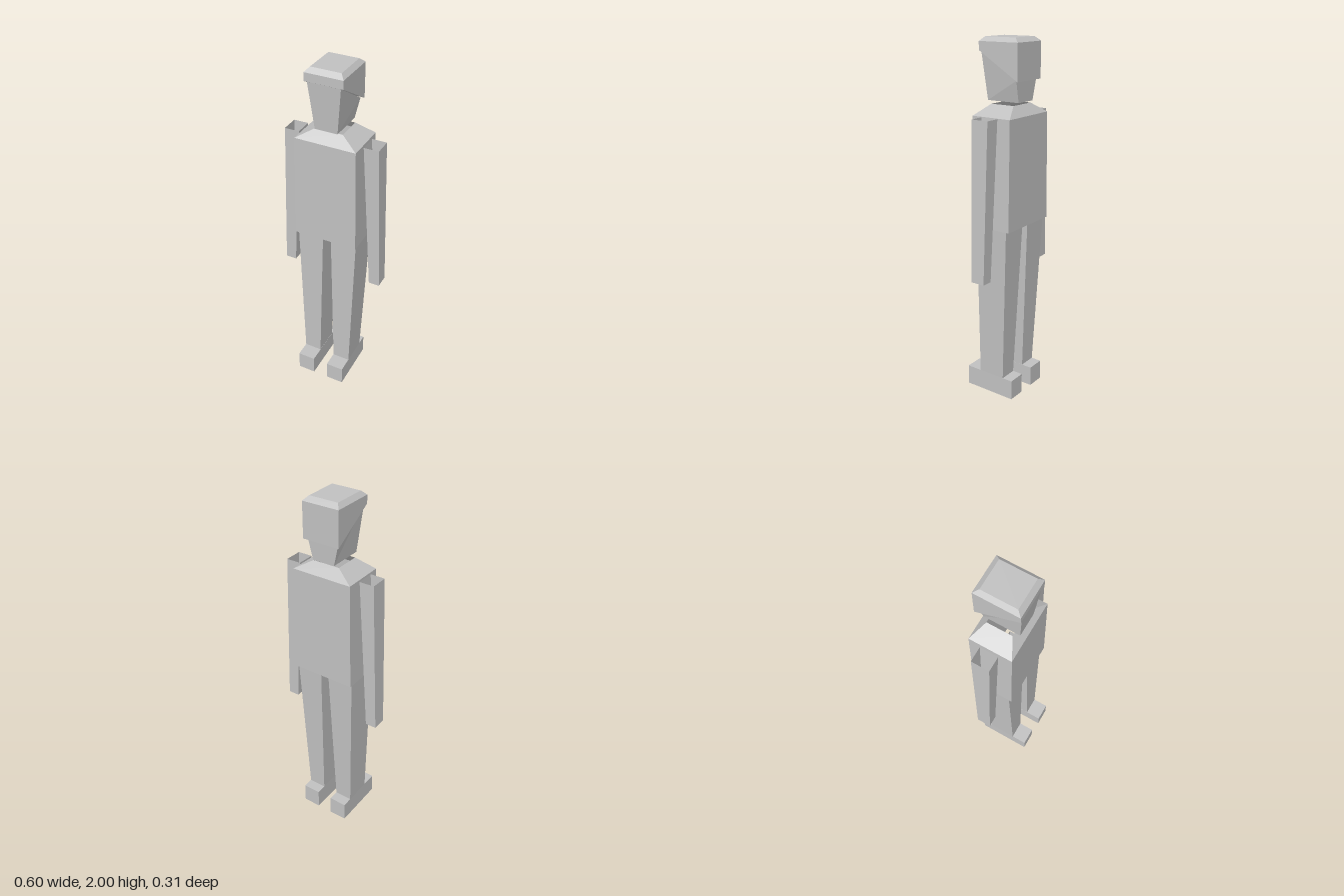
import * as THREE from 'three';

const grey = new THREE.MeshStandardMaterial({ color: 0xc0c0c0, side: THREE.DoubleSide, flatShading: true });
grey.name = 'plain grey';

// One four-cornered cross-section; yBack lets it slope from front to back
const ring = (x0, x1, z0, z1, yFront, yBack = yFront) => [
  [x0, yFront, z1], [x1, yFront, z1], [x1, yBack, z0], [x0, yBack, z0],
];

// Joins cross-sections from bottom to top, with optional end faces
function loft(name, rings, { bottom = false, top = false } = {}) {
  const positions = [];
  const quad = (a, b, c, d) => positions.push(...a, ...b, ...c, ...a, ...c, ...d);
  for (let r = 0; r < rings.length - 1; r++) {
    const low = rings[r], high = rings[r + 1];
    for (let i = 0; i < 4; i++) {
      const j = (i + 1) % 4;
      quad(low[i], low[j], high[j], high[i]);
    }
  }
  if (bottom) quad(...[...rings[0]].reverse());
  if (top) quad(...rings[rings.length - 1]);
  const geometry = new THREE.BufferGeometry();
  geometry.setAttribute('position', new THREE.Float32BufferAttribute(positions, 3));
  geometry.computeVertexNormals();
  const mesh = new THREE.Mesh(geometry, grey);
  mesh.name = name;
  return mesh;
}

export function createModel() {
  const model = new THREE.Group();
  model.name = 'standingFigure';

  // Torso with sloping shoulders, open at the neck and hips
  model.add(loft('torso', [
    ring(-0.182, 0.182, -0.157, 0.08, 1.01),
    ring(-0.172, 0.172, -0.157, 0.08, 1.605),
    ring(-0.077, 0.077, -0.112, 0.03, 1.66),
  ]));

  // Tapered face, reaching up to the slanted edge of the hair
  model.add(loft('head', [
    ring(-0.063, 0.063, -0.134, 0.062, 1.675),
    ring(-0.09, 0.09, -0.138, 0.083, 1.93, 1.79),
  ]));

  // Hair: low at the back, with a bevelled crown
  model.add(loft('hair', [
    ring(-0.105, 0.105, -0.155, 0.087, 1.932, 1.785),
    ring(-0.105, 0.105, -0.155, 0.087, 1.977),
    ring(-0.083, 0.083, -0.128, 0.062, 2.0),
  ], { bottom: true, top: true }));

  // Limbs, mirrored across the body
  for (const side of [1, -1]) {
    const label = side > 0 ? 'left' : 'right';
    const limbRing = (inner, outer, ...rest) =>
      side > 0 ? ring(inner, outer, ...rest) : ring(-outer, -inner, ...rest);

    // Arm, hollow at the shoulder
    model.add(loft(label + 'Arm', [
      limbRing(0.236, 0.298, -0.079, 0.001, 0.735),
      limbRing(0.183, 0.265, -0.088, 0.012, 1.605),
    ], { bottom: true }));

    // Leg
    model.add(loft(label + 'Leg', [
      limbRing(0.046, 0.148, -0.094, 0.065, 0.115),
      limbRing(0.024, 0.175, -0.136, 0.059, 1.01),
    ]));

    // Foot, open underneath
    model.add(loft(label + 'Foot', [
      limbRing(0.045, 0.148, -0.155, 0.155, 0),
      limbRing(0.045, 0.148, -0.155, 0.155, 0.115),
    ], { top: true }));
  }
  return model;
}
